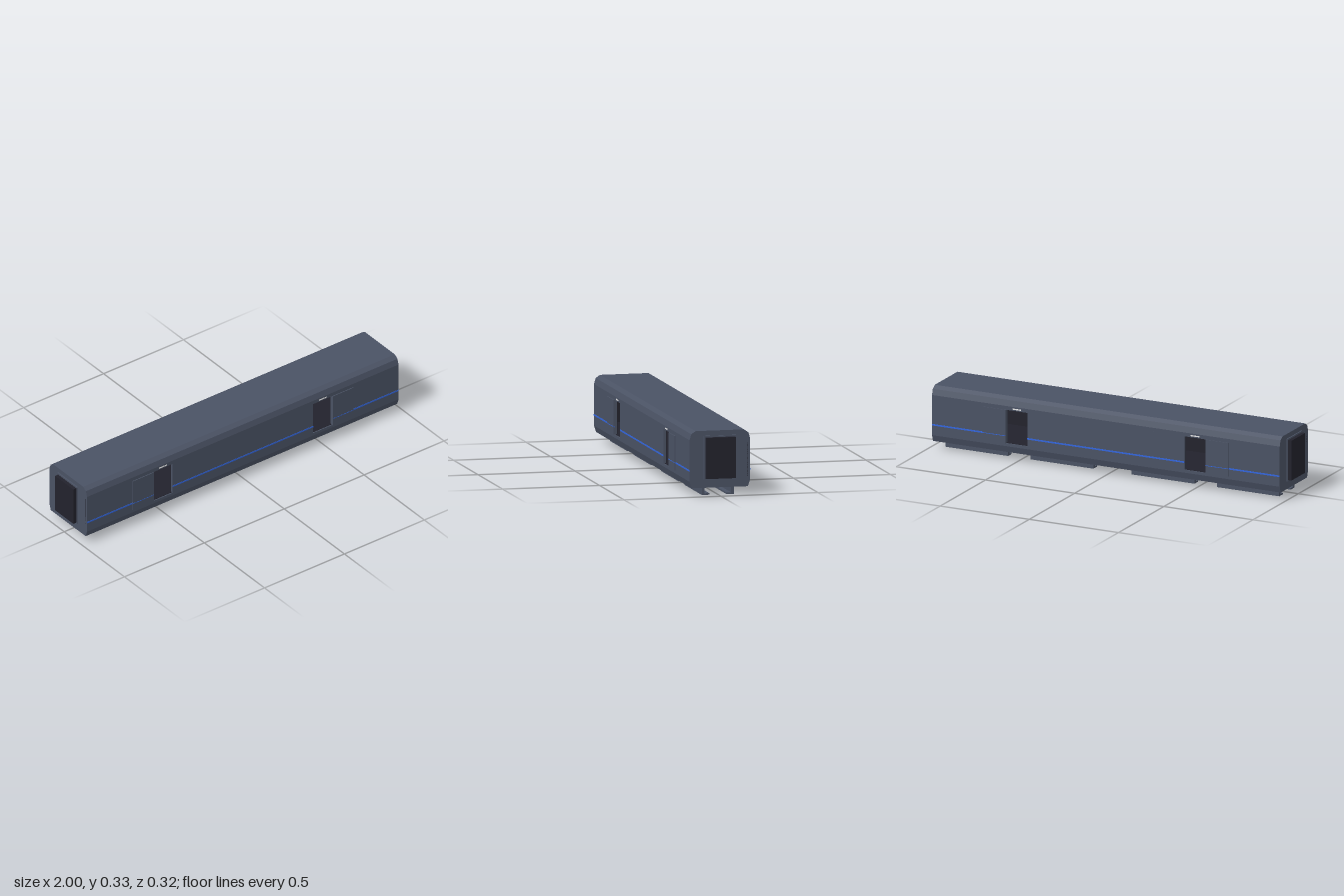
import * as THREE from 'three';

const mat = (name, color) => Object.assign(new THREE.MeshStandardMaterial({ color }), { name });

export function createModel() {
  const paint = mat('slate paint', 0x4a5264);
  const dark = mat('dark interior', 0x22222c);
  const blue = mat('blue stripe', 0x3366dd);
  const white = mat('white sign', 0xf0f0f0);
  const warm = mat('warm lamp', 0xf0d09a);

  const root = new THREE.Group();
  root.name = 'railCar';

  // Box given by its limits on each axis
  const box = (name, m, [x0, x1], [y0, y1], [z0, z1]) => {
    const mesh = new THREE.Mesh(new THREE.BoxGeometry(x1 - x0, y1 - y0, Math.abs(z1 - z0)), m);
    mesh.position.set((x0 + x1) / 2, (y0 + y1) / 2, (z0 + z1) / 2);
    mesh.name = name;
    root.add(mesh);
  };

  // Half profile [z, y] mirrored and run along the whole car
  const hull = (name, half) => {
    const pts = [...half, ...half.map(([z, y]) => [-z, y]).reverse()];
    const shape = new THREE.Shape(pts.map(([z, y]) => new THREE.Vector2(z, y)));
    const geo = new THREE.ExtrudeGeometry(shape, { depth: 2 * L, bevelEnabled: false });
    geo.translate(0, 0, -L).rotateY(Math.PI / 2);
    const mesh = new THREE.Mesh(geo, paint);
    mesh.name = name;
    root.add(mesh);
  };

  const L = 0.975, W = 0.156;          // half length, half width
  const doorY = [0.09, 0.265];
  const bays = [[-L, -0.56], [-0.44, 0.44], [0.56, L]];

  // Floor and roof sections
  hull('underbody', [[0.145, 0.042], [W, 0.075], [W, doorY[0]]]);
  hull('roof', [[W, doorY[1]], [W, 0.285], [0.147, 0.315], [0.125, 0.33]]);

  // Interior linings and lamps
  box('floorLining', dark, [-0.955, 0.955], [0.09, 0.092], [-0.15, 0.15]);
  box('ceilingLining', dark, [-0.955, 0.955], [0.262, 0.265], [-0.15, 0.15]);
  for (const z of [-0.06, 0.06])
    box('ceilingLamp', warm, [-0.94, 0.94], [0.25, 0.254], [z - 0.008, z + 0.008]);

  // Side walls with open doorways, stripes, signs and slid-back doors
  for (const s of [-1, 1]) {
    for (const bay of bays) {
      box('sideWall', paint, bay, doorY, [s * 0.142, s * W]);
      box('wallLining', dark, bay, doorY, [s * 0.14, s * 0.142]);
      box('sideStripe', blue, bay, [0.126, 0.134], [s * W, s * 0.1575]);
    }
    for (const e of [-1, 1]) {
      const span = (a, b) => (e > 0 ? [a, b] : [-b, -a]);
      box('slidingDoor', paint, span(0.56, 0.69), doorY, [s * W, s * 0.1605]);
      box('doorStripe', blue, span(0.56, 0.69), [0.1285, 0.1315], [s * 0.1605, s * 0.1612]);
      box('doorSign', white, span(0.476, 0.524), [0.271, 0.277], [s * W, s * 0.1575]);
    }
  }

  // End walls with gangway frame and connection
  for (const e of [-1, 1]) {
    const span = (a, b) => (e > 0 ? [a, b] : [-b, -a]);
    box('endWall', paint, span(0.957, L), doorY, [-W, W]);
    box('endLining', dark, span(0.955, 0.957), doorY, [-0.14, 0.14]);
    box('gangwayFrame', paint, span(L, 0.981), [0.083, 0.305], [-0.083, 0.083]);
    box('gangway', dark, span(0.981, 1), [0.089, 0.297], [-0.076, 0.076]);
  }

  // Underfloor channels, two near each end
  for (const [a, b] of [[-0.935, -0.585], [-0.46, -0.107], [0.107, 0.46], [0.585, 0.935]]) {
    box('channelPlate', paint, [a, b], [0.036, 0.042], [-0.083, 0.083]);
    for (const s of [-1, 1]) {
      box('channelRail', paint, [a, b], [0, 0.042], [s * 0.068, s * 0.083]);
      box('channelFoot', paint, [a, b], [0, 0.008], [s * 0.044, s * 0.068]);
    }
  }
  return root;
}
